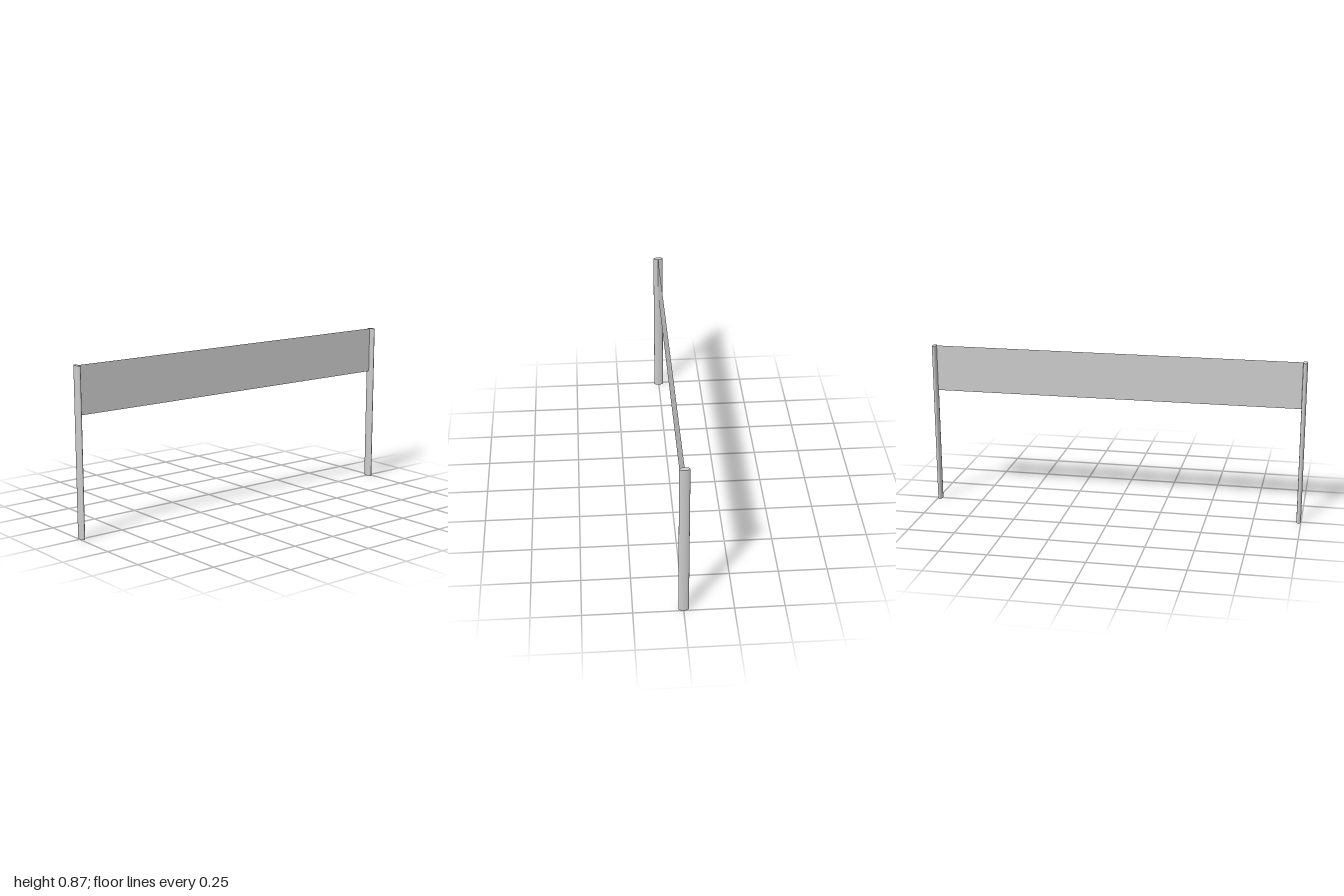
import * as THREE from 'three';

const HEIGHT = 0.867;
const POST_X = 0.988; // post centre
const POST_RX = 0.012, POST_RZ = 0.026; // oval section

export function createModel() {
  const group = new THREE.Group();
  const material = new THREE.MeshStandardMaterial({ color: 0xcccccc });

  // Two upright posts with an oval section
  const postGeometry = new THREE.CylinderGeometry(1, 1, HEIGHT, 24);
  postGeometry.scale(POST_RX, 1, POST_RZ);
  for (const [name, side] of [['leftPost', 1], ['rightPost', -1]]) {
    const post = new THREE.Mesh(postGeometry, material);
    post.name = name;
    post.position.set(side * POST_X, HEIGHT / 2, 0);
    group.add(post);
  }

  // Thin banner sheet stretched between the tops of the posts
  const bottom = 0.62;
  const banner = new THREE.Mesh(
    new THREE.PlaneGeometry(2 * (POST_X - POST_RX), HEIGHT - bottom),
    new THREE.MeshStandardMaterial({ color: 0xcccccc, side: THREE.DoubleSide })
  );
  banner.name = 'banner';
  banner.position.y = (HEIGHT + bottom) / 2;
  group.add(banner);

  return group;
}
